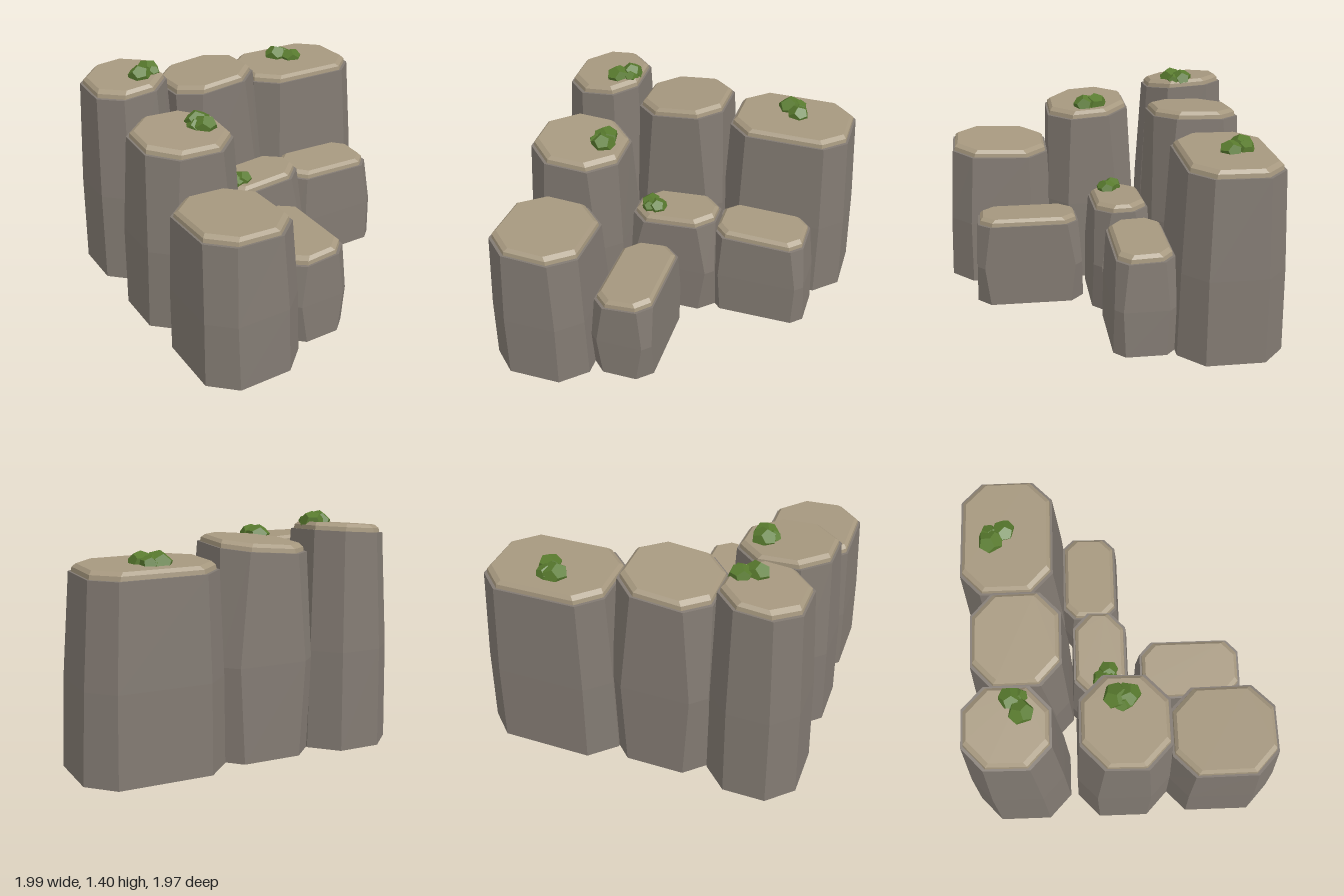
import * as THREE from 'three';

const STONE = new THREE.MeshStandardMaterial({ color: 0x827a72, flatShading: true });
const SAND = new THREE.MeshStandardMaterial({ color: 0xa6987f, flatShading: true });
const LEAF = new THREE.MeshStandardMaterial({ color: 0x587a2e, flatShading: true });

// Chamfered rectangle, counter-clockwise from above; height is a function of x and z
function ring([x0, x1, z0, z1], c, height) {
  const d = c * 0.95;
  return [
    [x1, z1 - d], [x1, z0 + d], [x1 - c, z0], [x0 + c, z0],
    [x0, z0 + d], [x0, z1 - d], [x0 + c, z1], [x1 - c, z1],
  ].map(([x, z]) => new THREE.Vector3(x, height(x, z), z));
}

// Closed faceted solid through a stack of rings, bottom to top
function loft(rings, material, name) {
  const points = [];
  const n = rings[0].length;
  for (let r = 0; r < rings.length - 1; r++) {
    for (let i = 0; i < n; i++) {
      const j = (i + 1) % n;
      const [lo, hi] = [rings[r], rings[r + 1]];
      points.push(lo[i], lo[j], hi[j], lo[i], hi[j], hi[i]);
    }
  }
  const bottom = rings[0], top = rings[rings.length - 1];
  for (let i = 1; i < n - 1; i++) {
    points.push(top[0], top[i], top[i + 1], bottom[0], bottom[i + 1], bottom[i]);
  }
  const geometry = new THREE.BufferGeometry().setFromPoints(points);
  geometry.computeVertexNormals();
  const mesh = new THREE.Mesh(geometry, material);
  mesh.name = name;
  return mesh;
}

const inset = ([x0, x1, z0, z1], d) => [x0 + d, x1 - d, z0 + d, z1 - d];

// base/top: [x0, x1, z0, z1]; y: height at centre; sx, sz: slope of the top;
// c: chamfers at the base, middle and top
const PILLARS = [
  { name: 'backLeftPillar', base: [-1, -0.44, -0.96, -0.35], top: [-0.95, -0.47, -0.91, -0.40], y: 1.33, sx: 0.08, sz: -0.06, c: [0.15, 0.14, 0.13] },
  { name: 'backCentrePillar', base: [-0.45, 0.17, -0.92, -0.32], top: [-0.44, 0.13, -0.88, -0.34], y: 1.26, sx: 0.09, sz: 0.03, c: [0.13, 0.09, 0.13] },
  { name: 'backRightPillar', base: [0.13, 0.99, -0.99, -0.35], top: [0.17, 0.94, -0.96, -0.39], y: 1.175, sx: -0.01, sz: 0.01, c: [0.15, 0.14, 0.13] },
  { name: 'middleLeftPillar', base: [-1, -0.34, -0.30, 0.30], top: [-0.95, -0.37, -0.25, 0.29], y: 1.195, sx: -0.05, sz: -0.07, c: [0.15, 0.13, 0.15] },
  { name: 'frontLeftPillar', base: [-0.98, -0.35, 0.28, 0.98], top: [-0.95, -0.38, 0.30, 0.94], y: 0.935, sx: -0.05, sz: 0.04, c: [0.15, 0.14, 0.14] },
  { name: 'middleCentrePillar', base: [-0.39, 0.23, -0.32, 0.07], top: [-0.35, 0.21, -0.29, 0.05], y: 0.70, sx: 0.07, sz: -0.02, c: [0.10, 0.05, 0.10] },
  { name: 'middleRightPillar', base: [0.20, 0.83, -0.36, 0.02], top: [0.20, 0.79, -0.35, 0.00], y: 0.635, sx: -0.03, sz: -0.04, c: [0.07, 0.05, 0.07] },
  { name: 'frontCentrePillar', base: [-0.36, 0.04, 0.11, 0.81], top: [-0.34, 0.04, 0.14, 0.79], y: 0.575, sx: 0.08, sz: 0, c: [0.09, 0.05, 0.08] },
];

function pillar({ name, base, top, y, sx, sz, c }) {
  const group = new THREE.Group();
  group.name = name;
  const cx = (top[0] + top[1]) / 2, cz = (top[2] + top[3]) / 2;
  const tilted = (offset) => (x, z) => y + offset + sx * (x - cx) + sz * (z - cz);
  const middle = base.map((v, i) => v + (top[i] - v) * 0.3);
  group.add(
    // Tapering rock column
    loft([
      ring(base, c[0], () => 0),
      ring(middle, c[1], () => y * 0.45),
      ring(top, c[2], tilted(-0.045)),
    ], STONE, 'column'),
    // Sandy slab on top
    loft([
      ring(inset(top, 0.012), c[2], tilted(-0.05)),
      ring(inset(top, 0.016), c[2], tilted(-0.02)),
      ring(inset(top, 0.035), c[2], tilted(0)),
    ], SAND, 'cap'),
  );
  return group;
}

// Shrub clumps: [x, surface y, z, radius, turn]
const SHRUBS = [
  [[-0.63, 1.33, -0.57, 0.075, 0.3], [-0.55, 1.34, -0.63, 0.068, 1.1], [-0.54, 1.33, -0.58, 0.05, 0.7]],
  [[-0.515, 1.19, -0.03, 0.08, 0.2], [-0.505, 1.19, 0.04, 0.075, 0.9], [-0.55, 1.18, 0.01, 0.06, 0.5]],
  [[0.51, 1.175, -0.77, 0.08, 0.5], [0.58, 1.175, -0.69, 0.07, 1.3], [0.56, 1.175, -0.78, 0.06, 0.1]],
  [[-0.25, 0.69, -0.11, 0.065, 0.4], [-0.19, 0.695, -0.07, 0.062, 1.0], [-0.24, 0.69, -0.06, 0.05, 0.8]],
];

function shrub(clump) {
  const group = new THREE.Group();
  group.name = 'shrub';
  for (const [x, y, z, radius, turn] of clump) {
    // Turned so a pentagon faces up
    const geometry = new THREE.DodecahedronGeometry(radius).rotateZ(0.5536).rotateY(turn).scale(1.05, 0.95, 1.05);
    const leaf = new THREE.Mesh(geometry, LEAF);
    leaf.name = 'leafClump';
    leaf.position.set(x, y, z);
    group.add(leaf);
  }
  return group;
}

export function createModel() {
  const model = new THREE.Group();
  model.name = 'rockPillars';
  PILLARS.forEach((p) => model.add(pillar(p)));
  SHRUBS.forEach((s) => model.add(shrub(s)));
  return model;
}
